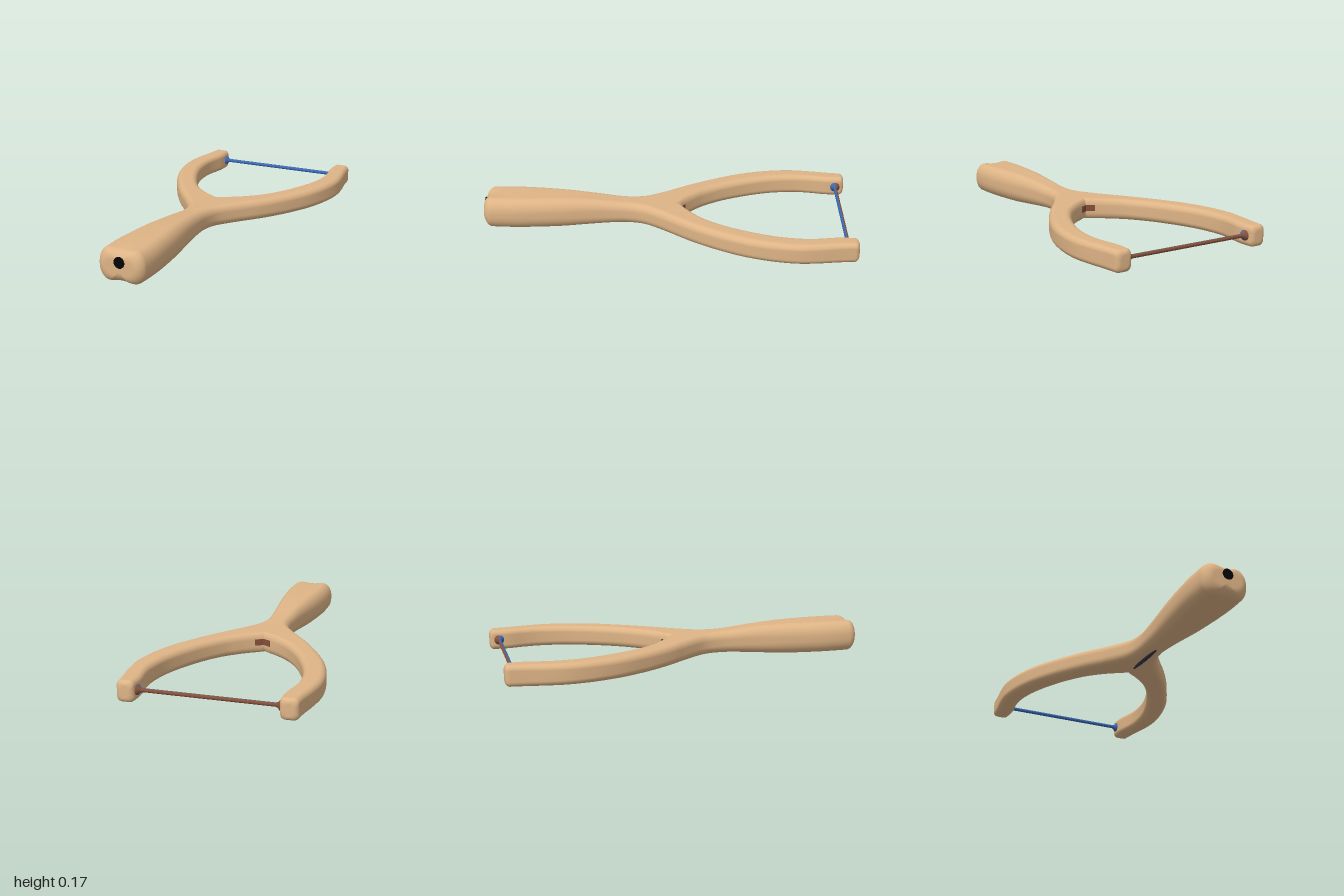
import * as THREE from 'three';
import { mergeVertices } from 'three/addons/utils/BufferGeometryUtils.js';

const material = (name, color) => {
  const m = new THREE.MeshStandardMaterial({ color });
  m.name = name;
  return m;
};

// Smooth interpolation through rows of [z, value, value, ...], sorted by falling z
function sample(rows, z) {
  const last = rows.length - 1;
  if (z >= rows[0][0]) return rows[0].slice(1);
  if (z <= rows[last][0]) return rows[last].slice(1);
  let i = 0;
  while (z < rows[i + 1][0]) i++;
  const slope = (j, c) => {
    const a = rows[Math.max(j - 1, 0)], b = rows[Math.min(j + 1, last)];
    return (b[c] - a[c]) / (b[0] - a[0]);
  };
  const h = rows[i + 1][0] - rows[i][0], t = (z - rows[i][0]) / h;
  const t2 = t * t, t3 = t2 * t;
  return rows[i].slice(1).map((v, k) =>
    (2 * t3 - 3 * t2 + 1) * v + (t3 - 2 * t2 + t) * h * slope(i, k + 1) +
    (3 * t2 - 2 * t3) * rows[i + 1][k + 1] + (t3 - t2) * h * slope(i + 1, k + 1));
}

// z, outer half width
const OUTER = [[1, 0.122], [0.9, 0.127], [0.8, 0.126], [0.6, 0.108], [0.4, 0.082], [0.3, 0.073], [0.22, 0.07],
  [0.15, 0.08], [0.1, 0.1], [0, 0.17], [-0.1, 0.248], [-0.2, 0.316], [-0.3, 0.374], [-0.4, 0.423], [-0.5, 0.457],
  [-0.6, 0.479], [-0.7, 0.487], [-0.8, 0.477], [-0.9, 0.46], [-1, 0.448]];
// z, inner edge of the arm; negative before the crotch, where only the rounded edge shows
const CROTCH = -0.07, CROTCH_EDGE = -0.03;
const INNER = [[CROTCH_EDGE, -0.05], [CROTCH, 0], [-0.085, 0.026], [-0.11, 0.063], [-0.14, 0.102], [-0.2, 0.166],
  [-0.3, 0.238], [-0.4, 0.291], [-0.5, 0.333], [-0.6, 0.363], [-0.72, 0.378], [-0.8, 0.373], [-0.9, 0.357], [-1, 0.36]];
// z, bottom, top, corner width, corner height
const HEIGHT = [[1, 0.003, 0.172, 0.055, 0.075], [0.6, 0.004, 0.171, 0.055, 0.07], [0.4, 0.016, 0.16, 0.045, 0.055],
  [0.25, 0.025, 0.146, 0.04, 0.045], [0, 0.024, 0.137, 0.042, 0.04], [-0.2, 0.021, 0.133, 0.04, 0.036],
  [-0.5, 0.021, 0.132, 0.034, 0.032], [-1, 0.021, 0.13, 0.024, 0.026]];

const ARC = 7, FLAT = 6;

// Loop of one half, clockwise from the front: inner top, outer top, outer bottom, inner bottom
function section(z) {
  let [out] = sample(OUTER, z), [inn] = sample(INNER, z);
  let [bot, top, rx, ry] = sample(HEIGHT, z);
  // rounded ends
  const e = z > 0 ? 0.045 : 0.024, d = 1 - Math.abs(z);
  const inset = d < e ? e - Math.sqrt(e * e - (e - d) ** 2) : 0;
  out -= inset; bot += inset; top -= inset;
  if (z < 0) inn += inset;
  ry = Math.min(ry, (top - bot) * 0.48);
  rx = Math.min(rx, (out - inn) * 0.48);
  // inner arc, cut off at the middle plane
  const innerX = Math.max(inn + rx, 0), outerX = out - rx;
  const start = Math.acos(THREE.MathUtils.clamp(-(inn + rx) / rx, -1, 0));
  // shallow dip along the middle of the butt
  const dip = 0.013 * Math.max(0, (z - 0.88) / 0.12) ** 2;
  const half = Math.PI / 2, pts = [];
  const arc = (x, y, from, to, shift) => {
    for (let i = 0; i <= ARC; i++) {
      const t = THREE.MathUtils.lerp(from, to, i / ARC);
      pts.push([Math.max(0, x + Math.cos(t) * rx), y + Math.sin(t) * ry + shift, z]);
    }
  };
  const flat = (y, from, to, shift) => {
    for (let i = 1; i < FLAT; i++) {
      const t = THREE.MathUtils.lerp(from, to, i / FLAT);
      pts.push([THREE.MathUtils.lerp(innerX, outerX, t), y + shift * Math.cos(t * half) ** 2, z]);
    }
  };
  arc(innerX, top - ry, start, half, -dip);
  flat(top, 0, 1, -dip);
  arc(outerX, top - ry, half, 0, 0);
  arc(outerX, bot + ry, 0, -half, 0);
  flat(bot, 1, 0, dip);
  arc(innerX, bot + ry, -half, -start, dip);
  return pts;
}

// Forked body: handle, neck and both arms as one skin, mirrored across x = 0
function forkGeometry() {
  const zs = [];
  for (let i = 0; i <= 10; i++) zs.push(1 - 0.045 * (1 - Math.cos(i / 10 * Math.PI / 2)));
  for (let i = 1; i <= 40; i++) zs.push(THREE.MathUtils.lerp(0.955, CROTCH_EDGE, i / 40));
  for (let i = 1; i <= 12; i++) zs.push(THREE.MathUtils.lerp(CROTCH_EDGE, CROTCH, i / 12));
  for (let i = 1; i <= 60; i++) zs.push(THREE.MathUtils.lerp(CROTCH, -0.976, (i / 60) ** 1.4));
  for (let i = 1; i <= 8; i++) zs.push(-0.976 - 0.024 * Math.sin(i / 8 * Math.PI / 2));
  const rings = zs.map(section), n = rings[0].length;
  const positions = [];
  const tri = (a, b, c) => {
    if (Math.max(a[0], b[0], c[0]) < 1e-6) return;   // no wall inside the handle
    for (const p of [a, b, c]) positions.push(...p);
    for (const p of [a, c, b]) positions.push(-p[0], p[1], p[2]);
  };
  for (let i = 0; i < rings.length - 1; i++) {
    for (let k = 0; k < n; k++) {
      const a = rings[i][k], b = rings[i][(k + 1) % n];
      const c = rings[i + 1][(k + 1) % n], d = rings[i + 1][k];
      tri(a, b, c);
      tri(a, c, d);
    }
  }
  // flat ends
  const first = rings[0], end = rings[rings.length - 1];
  const middle = (r, x) => [x, (r[0][1] + r[n - 1][1]) / 2, r[0][2]];
  const m0 = middle(first, 0), m1 = middle(end, 0.405);
  for (let k = 0; k < n; k++) {
    const j = (k + 1) % n;
    tri(m0, first[j], first[k]);
    tri(m1, end[k], end[j]);
  }
  let g = new THREE.BufferGeometry();
  g.setAttribute('position', new THREE.Float32BufferAttribute(positions, 3));
  g = mergeVertices(g);
  g.computeVertexNormals();
  return g;
}

export function createModel() {
  const wood = material('wood', 0xdeb486);
  const blue = material('blue band', 0x3c68b4);
  const brown = material('brown leather', 0x84503a);
  const black = material('black', 0x040404);
  const dark = material('dark slate', 0x3a3644);

  const model = new THREE.Group();
  model.name = 'slingshot';
  const add = (name, geometry, mat, x = 0, y = 0, z = 0) => {
    const mesh = new THREE.Mesh(geometry, mat);
    mesh.name = name;
    mesh.position.set(x, y, z);
    model.add(mesh);
    return mesh;
  };

  add('forkedBody', forkGeometry(), wood);

  // Band between the tips, flared at both ends, blue in front and below, brown behind
  const flare = [[0.372, 0.03], [0.352, 0.026], [0.342, 0.014], [0.33, 0.01]];
  const profile = [...flare.map(([l, r]) => new THREE.Vector2(r, -l)),
    ...flare.slice().reverse().map(([l, r]) => new THREE.Vector2(r, l))];
  const band = (from, to) => new THREE.LatheGeometry(profile, 10, THREE.MathUtils.degToRad(from),
    THREE.MathUtils.degToRad(to - from)).rotateZ(Math.PI / 2);
  add('bandFront', band(-125, 97), blue, 0, 0.077, -0.95);
  add('bandBack', band(97, 235), brown, 0, 0.077, -0.95);

  // Dark hole in the butt of the handle
  add('handleHole', new THREE.CylinderGeometry(0.029, 0.029, 0.004, 20).rotateX(Math.PI / 2), black, 0.003, 0.113, 1);

  // Dark slit under the neck
  add('neckSlit', new THREE.CylinderGeometry(1, 1, 0.006, 20).scale(0.012, 1, 0.135), dark, 0, 0.0235, 0.145);

  // Small leather patch folded into the crotch
  for (const s of [1, -1]) {
    const patch = add(s > 0 ? 'leftPatch' : 'rightPatch', new THREE.BoxGeometry(0.05, 0.034, 0.006), brown,
      s * 0.021, 0.085, -0.0825);
    patch.rotation.y = s * 0.53;
  }
  return model;
}
